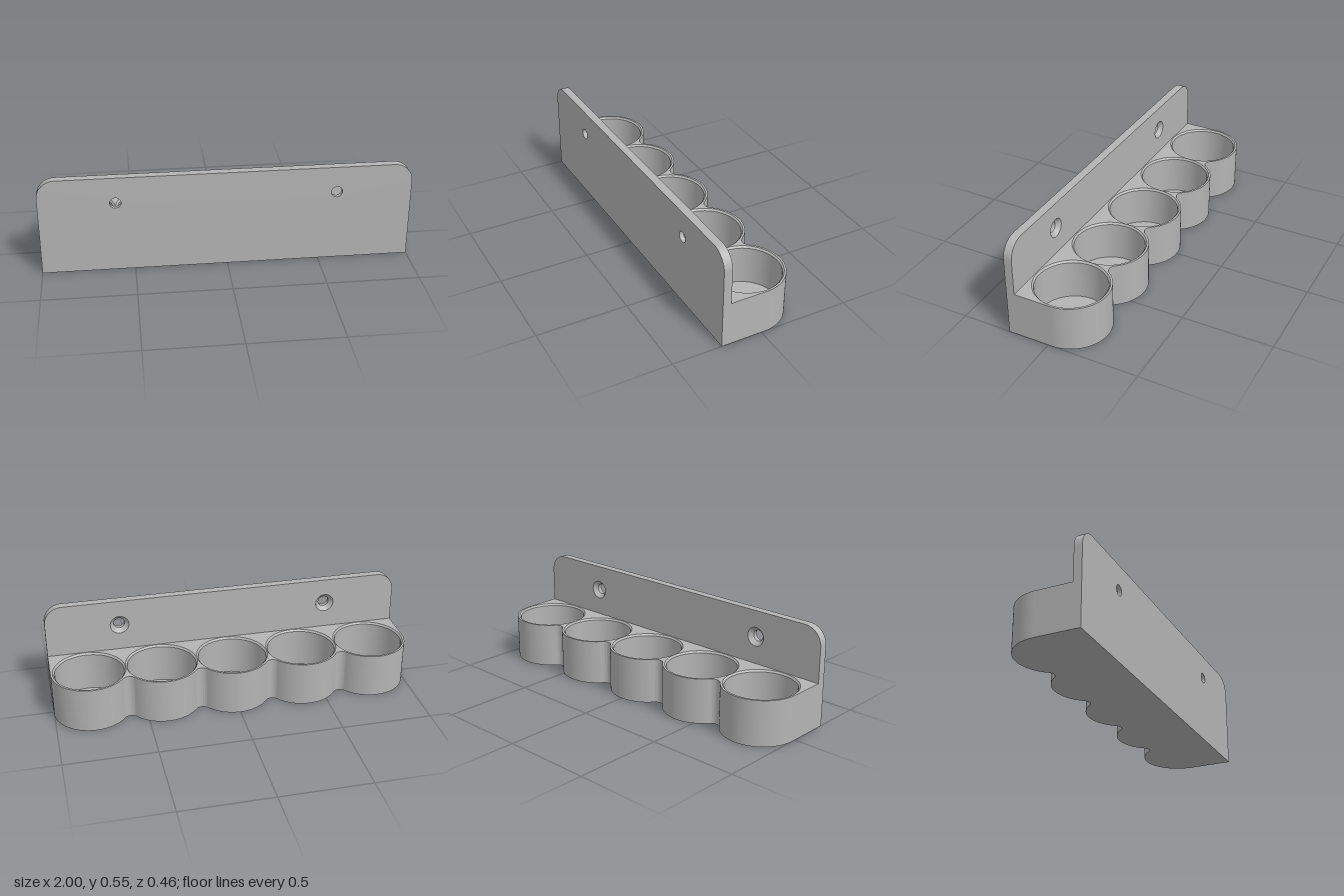
import * as THREE from 'three';
import { toCreasedNormals } from 'three/addons/utils/BufferGeometryUtils.js';

const HALF = 1, BACK = 0.182, FRONT = 0.228;        // plate half width and its two z faces
const PLATE_H = 0.545, BODY_H = 0.25, FLOOR = 0.025;
const CUP_R = 0.208, RIM_R = 0.197, BORE_R = 0.188, FILLET = 0.04;
const PITCH = 0.396, CUP_Z = -0.02, CUPS = [2, 1, 0, -1, -2].map(i => i * PITCH);
const SCREWS = [-0.592, 0.592], SCREW_Y = 0.4, HOLE_R = 0.03, SINK_R = 0.052;

const circle = (x, y, r) => new THREE.Path().absarc(x, y, r, 0, Math.PI * 2, true);

function extrude(shape, depth) {
  const g = new THREE.ExtrudeGeometry(shape, { depth, bevelEnabled: false, curveSegments: 40 });
  return toCreasedNormals(g, 0.5);
}

// Scalloped outline in plan; shape y is -z
function bodyShape() {
  const s = new THREE.Shape();
  const h = PITCH / 2, d = Math.sqrt((CUP_R + FILLET) ** 2 - h * h), t = Math.atan2(d, h);
  s.moveTo(-HALF, -BACK);
  s.lineTo(HALF, -BACK);
  CUPS.forEach((x, i) => {
    const last = i === CUPS.length - 1;
    s.absarc(x, -CUP_Z, CUP_R, i ? t : 0, last ? Math.PI : Math.PI - t, false);
    if (!last) s.absarc(x - h, -CUP_Z + d, FILLET, -t, t - Math.PI, true);
  });
  s.closePath();
  return s;
}

// Upright plate with rounded top corners
function plateShape(holeR) {
  const r = 0.1, s = new THREE.Shape();
  s.moveTo(-HALF, 0);
  s.lineTo(HALF, 0);
  s.absarc(HALF - r, PLATE_H - r, r, 0, Math.PI / 2, false);
  s.absarc(-HALF + r, PLATE_H - r, r, Math.PI / 2, Math.PI, false);
  s.closePath();
  SCREWS.forEach(x => s.holes.push(circle(x, SCREW_Y, holeR)));
  return s;
}

// Inward-facing ring, listed from top to bottom
const ring = (r0, y0, r1, y1) =>
  new THREE.LatheGeometry([new THREE.Vector2(r0, y0), new THREE.Vector2(r1, y1)], 64);

export function createModel() {
  const model = new THREE.Group();
  const grey = new THREE.MeshStandardMaterial({ color: 0xb4b4b4 });
  grey.name = 'grey';
  const add = (name, geometry, x = 0, y = 0, z = 0) => {
    const m = new THREE.Mesh(geometry, grey);
    m.name = name;
    m.position.set(x, y, z);
    model.add(m);
    return m;
  };

  // Holder body: closed floor and bored walls
  add('holderFloor', extrude(bodyShape(), FLOOR).rotateX(-Math.PI / 2));
  const walls = bodyShape();
  CUPS.forEach(x => walls.holes.push(circle(x, -CUP_Z, RIM_R)));
  add('holderWalls', extrude(walls, BODY_H - FLOOR).rotateX(-Math.PI / 2), 0, FLOOR);

  // Chamfered rim and bore of each cup
  const lip = BODY_H - 0.01;
  for (const x of CUPS) {
    add('cupRim', ring(RIM_R, BODY_H, BORE_R, lip), x, 0, CUP_Z);
    add('cupBore', ring(BORE_R, lip, BORE_R, FLOOR), x, 0, CUP_Z);
  }

  // Mounting plate: plain holes in front, countersinks behind
  const mid = (BACK + FRONT) / 2;
  add('plateFront', extrude(plateShape(HOLE_R), FRONT - mid), 0, 0, mid);
  add('plateBack', extrude(plateShape(SINK_R), mid - BACK), 0, 0, BACK);
  for (const x of SCREWS) {
    add('countersink', ring(SINK_R, mid - BACK, HOLE_R, 0).rotateX(-Math.PI / 2), x, SCREW_Y, mid);
  }
  return model;
}
